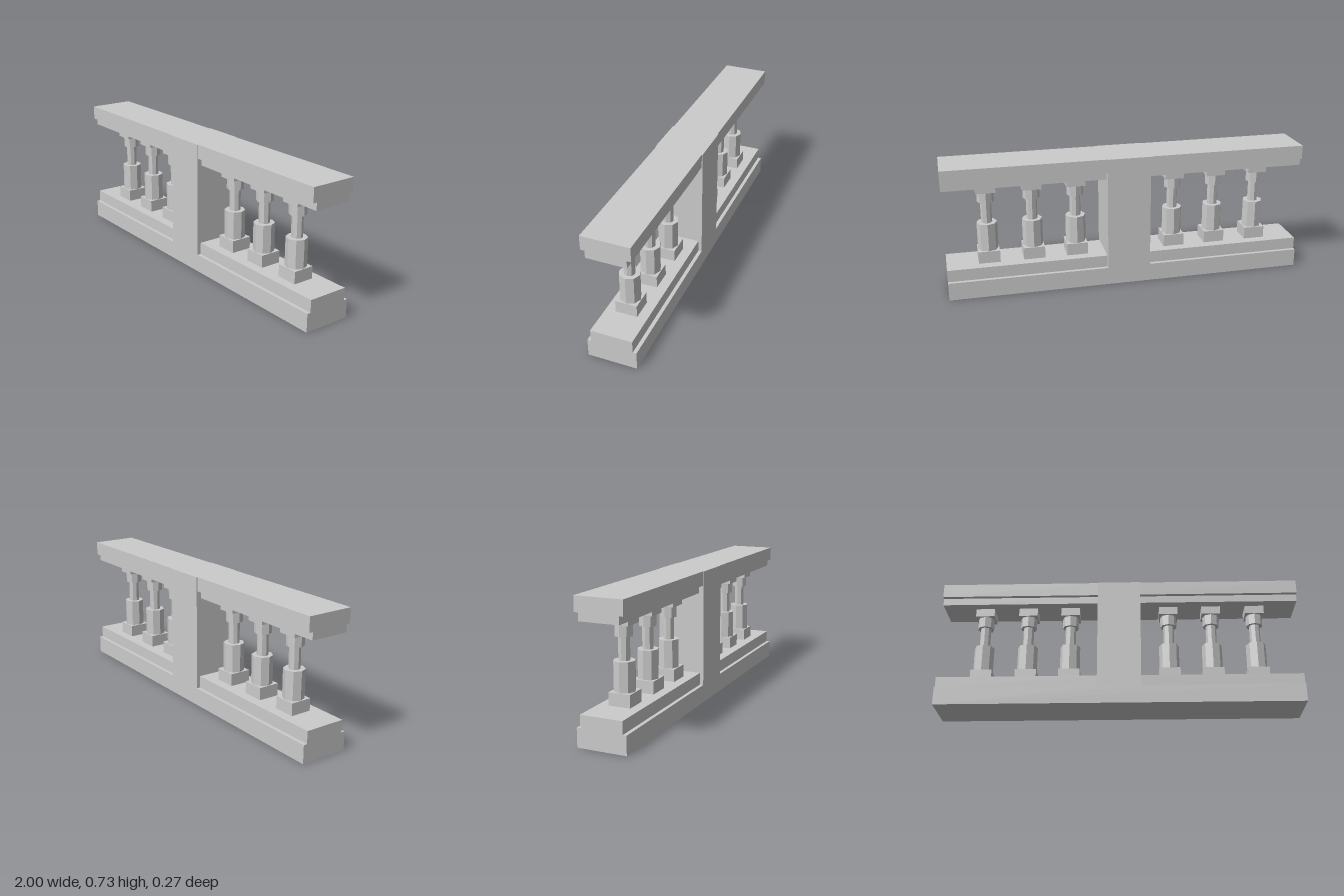
import * as THREE from 'three';

const material = new THREE.MeshStandardMaterial({ color: 0xcccccc, flatShading: true });

function add(parent, name, geometry, x, y, z = 0) {
  const mesh = new THREE.Mesh(geometry, material);
  mesh.name = name;
  mesh.position.set(x, y, z);
  parent.add(mesh);
  return mesh;
}

// Block spanning y0..y1, centred on x and on z = 0
function block(parent, name, x, y0, y1, width, depth) {
  return add(parent, name, new THREE.BoxGeometry(width, y1 - y0, depth), x, (y0 + y1) / 2);
}

// Octagonal prism with corners on the x and z axes
function prism(parent, name, y0, y1, radius) {
  return add(parent, name, new THREE.CylinderGeometry(radius, radius, y1 - y0, 8), 0, (y0 + y1) / 2);
}

function makeBaluster(x) {
  const baluster = new THREE.Group();
  baluster.name = 'baluster';
  baluster.position.x = x;
  block(baluster, 'plinth', 0, 0.167, 0.234, 0.118, 0.118);
  prism(baluster, 'lowerColumn', 0.234, 0.388, 0.056);
  prism(baluster, 'shaft', 0.388, 0.508, 0.03);
  prism(baluster, 'collar', 0.508, 0.568, 0.046);
  block(baluster, 'capital', 0, 0.568, 0.614, 0.106, 0.106);
  return baluster;
}

export function createModel() {
  const model = new THREE.Group();
  model.name = 'balustrade';

  // Base and centre post share one flush face
  const postHalf = 0.12, depth = 0.266;
  const outline = new THREE.Shape([
    [-1, 0], [1, 0], [1, 0.1], [postHalf, 0.1], [postHalf, 0.733],
    [-postHalf, 0.733], [-postHalf, 0.1], [-1, 0.1],
  ].map(([x, y]) => new THREE.Vector2(x, y)));
  add(model, 'baseAndPost',
    new THREE.ExtrudeGeometry(outline, { depth, bevelEnabled: false }), 0, 0, -depth / 2);

  // Stepped rails and three balusters on each side of the post
  for (const side of [-1, 1]) {
    const bay = new THREE.Group();
    bay.name = side > 0 ? 'leftBay' : 'rightBay';
    const width = 1 - postHalf, x = side * (1 + postHalf) / 2;
    block(bay, 'baseStep', x, 0.1, 0.167, width, 0.226);
    block(bay, 'railUnderside', x, 0.614, 0.655, width, 0.212);
    block(bay, 'handrail', x, 0.655, 0.733, width, 0.256);
    for (const offset of [0.279, 0.52, 0.767]) bay.add(makeBaluster(side * offset));
    model.add(bay);
  }
  return model;
}
